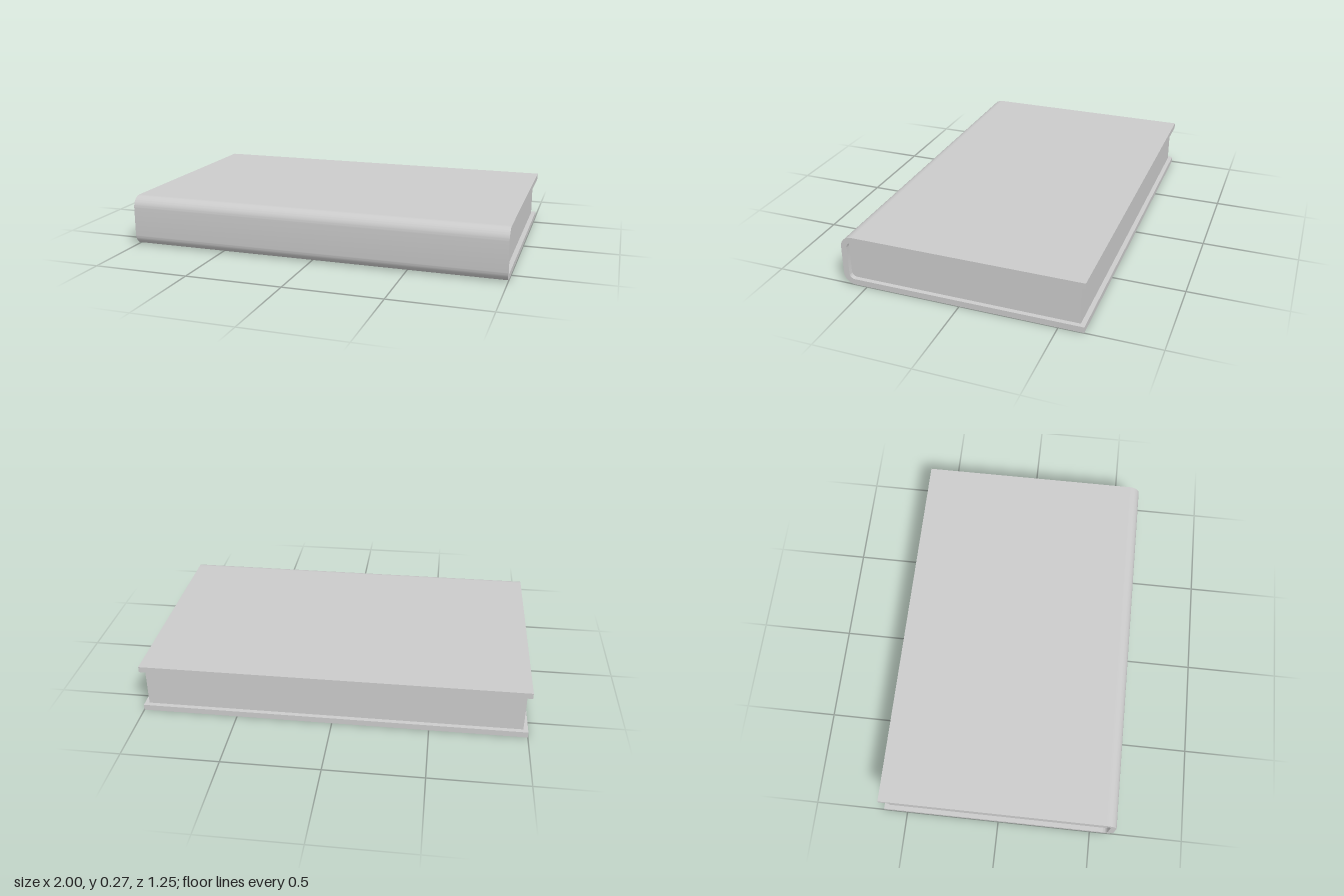
import * as THREE from 'three';
import { toCreasedNormals } from 'three/addons/utils/BufferGeometryUtils.js';

const HEIGHT = 0.268, DEPTH = 1.252, BOARD = 0.031, RADIUS = 0.06, INSET = 0.024;
const SPINE = -DEPTH / 2; // profile x runs from the spine (front) to the open edge (back)

// Traces the rounded spine side, from the bottom of the open edge to its top
function traceU(path, inset, openEdge) {
  const left = SPINE + inset, bottom = inset, top = HEIGHT - inset, r = RADIUS - inset;
  path.moveTo(openEdge, bottom);
  path.lineTo(left + r, bottom);
  path.absarc(left + r, bottom + r, r, -Math.PI / 2, -Math.PI, true);
  path.lineTo(left, top - r);
  path.absarc(left + r, top - r, r, Math.PI, Math.PI / 2, true);
  path.lineTo(openEdge, top);
  return path;
}

// Extrudes a side profile along x, centred on the origin
function extrudeAlongX(name, shape, width, material) {
  const geometry = new THREE.ExtrudeGeometry(shape, { depth: width, bevelEnabled: false, curveSegments: 8 });
  geometry.translate(0, 0, -width / 2);
  geometry.rotateY(Math.PI / 2);
  const mesh = new THREE.Mesh(toCreasedNormals(geometry, 0.6), material);
  mesh.name = name;
  return mesh;
}

export function createModel() {
  const group = new THREE.Group();
  group.name = 'book';
  const material = new THREE.MeshStandardMaterial({ color: 0xcccccc });

  // Cover: two boards joined by a rounded spine
  const outer = traceU(new THREE.Shape(), 0, DEPTH / 2);
  const inner = traceU(new THREE.Path(), BOARD, DEPTH / 2).getPoints(8).reverse();
  inner.forEach((p) => outer.lineTo(p.x, p.y));
  outer.closePath();
  group.add(extrudeAlongX('cover', outer, 2, material));

  // Page block: fills the cover, set back from the three open edges
  const pages = traceU(new THREE.Shape(), BOARD, DEPTH / 2 - INSET);
  pages.closePath();
  group.add(extrudeAlongX('pages', pages, 2 - 2 * INSET, material));

  return group;
}
